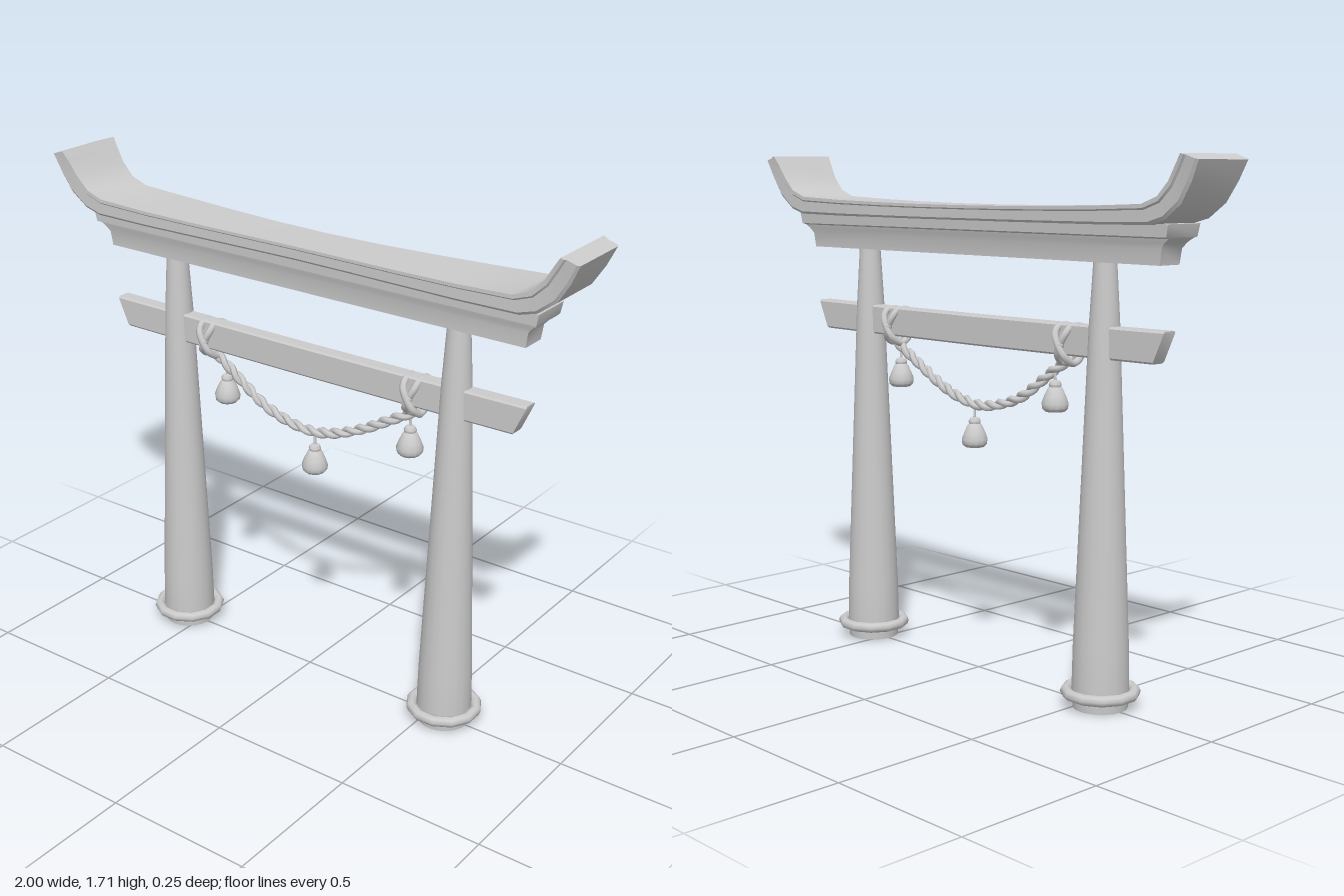
import * as THREE from 'three';
import { toCreasedNormals } from 'three/addons/utils/BufferGeometryUtils.js';

const grey = new THREE.MeshStandardMaterial({ color: 0xcccccc });
const greyDouble = new THREE.MeshStandardMaterial({ color: 0xcccccc, side: THREE.DoubleSide });

function add(parent, name, geometry, material = grey) {
  const mesh = new THREE.Mesh(geometry, material);
  mesh.name = name;
  parent.add(mesh);
  return mesh;
}

// Skin a row of equal cross-sections (ordered along +x) and cap both ends
function loft(sections) {
  const n = sections[0].length, last = sections.length - 1;
  const index = [];
  for (let i = 0; i < last; i++) {
    for (let j = 0; j < n; j++) {
      const k = (j + 1) % n;
      const a = i * n + j, b = i * n + k, c = b + n, d = a + n;
      index.push(a, d, c, a, c, b);
    }
  }
  for (let j = 0; j < n / 2 - 1; j++) {
    const q = [j, j + 1, n - 2 - j, n - 1 - j];
    index.push(q[0], q[1], q[2], q[0], q[2], q[3]);
    const e = q.map((v) => v + last * n);
    index.push(e[0], e[2], e[1], e[0], e[3], e[2]);
  }
  const geo = new THREE.BufferGeometry();
  geo.setAttribute('position', new THREE.Float32BufferAttribute(sections.flat(2), 3));
  geo.setIndex(index);
  return toCreasedNormals(geo, 0.6);
}

// Close a half section (front side, bottom to top) by mirroring it in z
const closeSection = (half) => [...half, ...half.map(([x, y, z]) => [x, y, -z]).reverse()];

// Straight beam whose profile rows are [y, half depth, half length]
function beam(rows, dip = 0) {
  return loft([-1, -0.5, 0, 0.5, 1].map((s) =>
    closeSection(rows.map(([y, z, x]) => [s * x, y - dip * (1 - s * s), z]))));
}

// Curved top lintel: stations are [bottom x, bottom y, top x, top y, half depth]
function lintel() {
  const stations = [
    [0, 1.505, 0, 1.553, 0.085], [0.2, 1.505, 0.2, 1.554, 0.089],
    [0.4, 1.506, 0.4, 1.557, 0.098], [0.6, 1.507, 0.6, 1.562, 0.107],
    [0.81, 1.51, 0.79, 1.57, 0.111], [0.87, 1.527, 0.85, 1.592, 0.112],
    [0.93, 1.572, 0.892, 1.635, 0.114], [0.97, 1.635, 0.922, 1.682, 0.119],
    [0.998, 1.695, 0.943, 1.712, 0.125],
  ];
  const lip = [[0, 0.88], [0.14, 0.95], [0.72, 0.95], [0.8, 1], [1, 1]];
  const section = ([bx, by, tx, ty, w], s) => closeSection(lip.map(([t, k]) =>
    [s * (bx + (tx - bx) * t), by + (ty - by) * t, w * k]));
  return loft([
    ...stations.slice(1).reverse().map((p) => section(p, -1)),
    ...stations.map((p) => section(p, 1)),
  ]);
}

// One strand winding around a curve in the xy plane
function strand(curve, phase, turns, offset, radius) {
  const points = [];
  const z = new THREE.Vector3(0, 0, 1);
  for (let i = 0; i <= 160; i++) {
    const u = i / 160, a = phase + u * turns * Math.PI * 2;
    const t = curve.getTangentAt(u);
    const side = new THREE.Vector3(-t.y, t.x, 0);
    points.push(curve.getPointAt(u)
      .addScaledVector(side, Math.cos(a) * offset)
      .addScaledVector(z, Math.sin(a) * offset));
  }
  return new THREE.TubeGeometry(new THREE.CatmullRomCurve3(points), 200, radius, 6);
}

const lathe = (points, sides) =>
  new THREE.LatheGeometry(points.map(([r, y]) => new THREE.Vector2(r, y)), sides);

export function createModel() {
  const model = new THREE.Group();
  model.name = 'gate';

  // Tapered hollow-footed pillars with collar rings
  for (const s of [-1, 1]) {
    const pillar = new THREE.Group();
    pillar.name = s > 0 ? 'leftPillar' : 'rightPillar';
    pillar.position.x = s * 0.556;
    add(pillar, 'shaft', lathe(
      [[0.087, 0], [0.091, 0.06], [0.088, 0.2], [0.064, 0.8], [0.048, 1.2], [0.036, 1.4]], 20), greyDouble);
    const collar = new THREE.TorusGeometry(0.109, 0.018, 8, 12);
    collar.rotateZ(Math.PI / 12).rotateX(Math.PI / 2);
    add(pillar, 'collar', collar).position.y = 0.05;
    model.add(pillar);
  }

  // Horizontal beams
  add(model, 'tieBeam', beam(
    [[1.1, 0.021, 0.768], [1.106, 0.026, 0.772], [1.194, 0.026, 0.812], [1.2, 0.021, 0.812]], 0.004));
  add(model, 'underLintel', beam([
    [1.392, 0.044, 0.808], [1.44, 0.046, 0.815], [1.458, 0.052, 0.83],
    [1.47, 0.055, 0.848], [1.475, 0.07, 0.852], [1.513, 0.072, 0.86]]));
  add(model, 'topLintel', lintel());

  // Twisted hanging rope
  const ropePath = new THREE.CatmullRomCurve3([
    [-0.42, 1.085], [-0.37, 1.06], [-0.29, 1.005], [-0.2, 0.945], [-0.1, 0.91], [0, 0.897],
    [0.1, 0.915], [0.2, 0.955], [0.3, 1.01], [0.38, 1.055], [0.43, 1.085],
  ].map(([x, y]) => new THREE.Vector3(x, y, 0)));
  const rope = new THREE.Group();
  rope.name = 'rope';
  for (const phase of [0, Math.PI]) add(rope, 'ropeStrand', strand(ropePath, phase, 9, 0.008, 0.011));
  model.add(rope);

  // Crossed rope loops tied around the tie beam
  const loop = [[1.186, 0.022, -1], [1.165, 0.042, -0.8], [1.13, 0.048, 0], [1.095, 0.038, 0.8], [1.073, 0, 1]];
  for (const s of [-1, 1]) {
    const knot = new THREE.Group();
    knot.name = s > 0 ? 'leftKnot' : 'rightKnot';
    knot.position.x = s * 0.41;
    for (const tilt of [-1, 1]) {
      const front = loop.map(([y, z, x]) => new THREE.Vector3(tilt * x * 0.022, y, z + tilt * 0.004));
      const back = loop.slice(0, -1).reverse()
        .map(([y, z, x]) => new THREE.Vector3(tilt * x * 0.022, y, -z + tilt * 0.004));
      const path = new THREE.CatmullRomCurve3([...front, ...back], true);
      add(knot, 'knotLoop', new THREE.TubeGeometry(path, 48, 0.012, 7, true));
    }
    for (const z of [-0.046, 0.046]) {
      const bead = add(knot, 'knotCentre', new THREE.SphereGeometry(0.016, 10, 8));
      bead.position.set(0, 1.132, z);
    }
    model.add(knot);
  }

  // Tassels on short cords
  const tasselProfile = [
    [0, 0.012], [0.032, 0.002], [0.042, 0.012], [0.044, 0.028], [0.036, 0.05], [0.024, 0.075],
    [0.019, 0.08], [0.021, 0.088], [0.016, 0.098], [0.005, 0.102], [0.004, 0.145]];
  for (const [x, y] of [[-0.35, 0.912], [0.02, 0.753], [0.393, 0.92]]) {
    add(model, 'tassel', toCreasedNormals(lathe(tasselProfile, 12), 0.7), greyDouble).position.set(x, y, 0);
  }
  return model;
}
